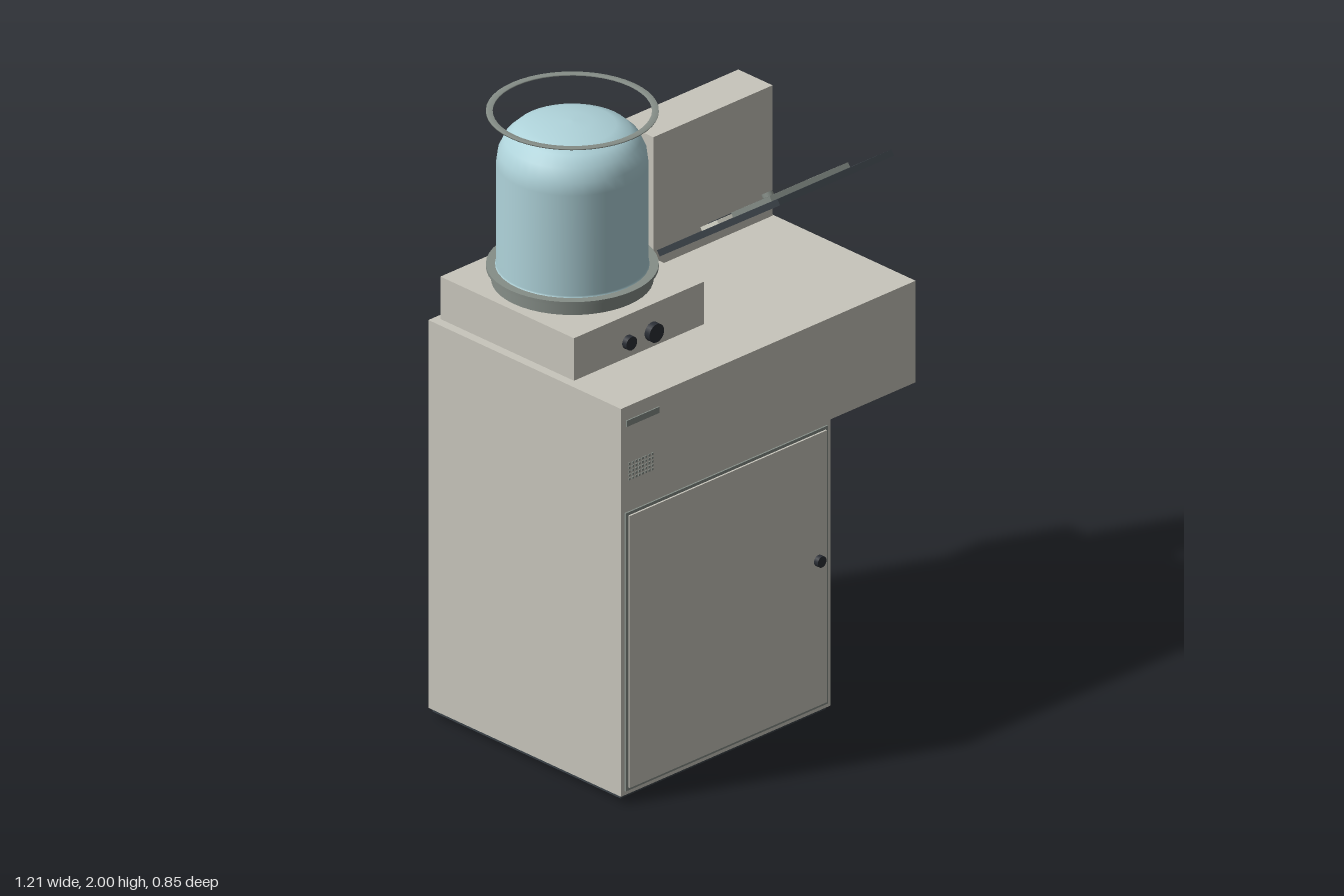
import * as THREE from 'three';

const mat = (name, color, extra = {}) => {
  const m = new THREE.MeshStandardMaterial({ color, ...extra });
  m.name = name;
  return m;
};

export function createModel() {
  const root = new THREE.Group();
  const body = mat('body beige', 0xc8c6bc);
  const steel = mat('steel grey', 0x868e88);
  const dark = mat('dark slate', 0x3b4248);
  const black = mat('knob black', 0x2a2e35);
  const glass = mat('bell blue', 0xafd3da, { side: THREE.DoubleSide });
  const cream = mat('cream', 0xdcdccf);

  const add = (name, geo, m, parent = root) => {
    const mesh = new THREE.Mesh(geo, m);
    mesh.name = name;
    parent.add(mesh);
    return mesh;
  };
  // Box given by its minimum and maximum on each axis
  const box = (name, m, x0, x1, y0, y1, z0, z1, parent = root) => {
    const b = add(name, new THREE.BoxGeometry(x1 - x0, y1 - y0, z1 - z0), m, parent);
    b.position.set((x0 + x1) / 2, (y0 + y1) / 2, (z0 + z1) / 2);
    return b;
  };
  const disc = (name, m, r, h, x, y, z, parent = root) => {
    const c = add(name, new THREE.CylinderGeometry(r, r, h, 24), m, parent);
    c.position.set(x, y, z);
    return c;
  };
  const frontKnob = (name, r, depth, x, y, z) => {
    disc(name, black, r, depth, x, y, z + depth / 2).rotation.x = Math.PI / 2;
  };

  // Cabinet, overhanging upper body and support leg
  box('cabinet', body, -0.605, 0.255, 0.026, 0.97, -0.415, 0.4);
  box('upperBody', body, -0.605, 0.605, 0.97, 1.305, -0.415, 0.4);
  box('plinth', dark, -0.597, 0.247, 0.014, 0.026, -0.405, 0.39);
  box('supportLeg', steel, 0.505, 0.565, 0.005, 0.96, -0.375, -0.31);
  for (const x of [-0.54, 0.173])
    for (const z of [-0.32, 0.3]) disc('foot', black, 0.032, 0.016, x, 0.008, z);

  // Door with its grey seam and knob
  box('doorSeam', steel, -0.59, 0.24, 0.04, 0.957, 0.4, 0.405);
  box('door', body, -0.58, 0.23, 0.05, 0.947, 0.4, 0.411);
  frontKnob('doorKnob', 0.018, 0.017, 0.195, 0.53, 0.41);

  // Rear service panel with vent slats
  box('rearPanelSeam', steel, -0.59, 0.24, 0.04, 0.957, -0.418, -0.41);
  box('rearPanel', body, -0.585, 0.235, 0.046, 0.957, -0.421, -0.41);
  for (let i = 0; i < 8; i++) {
    const x = -0.115 + i * 0.0185;
    box('ventSlat', dark, x, x + 0.009, 0.77, 0.81, -0.426, -0.42);
  }

  // Slot and speaker grille on the upper front
  box('frontSlot', steel, -0.585, -0.45, 1.24, 1.26, 0.4, 0.404);
  for (let i = 0; i < 8; i++)
    for (let j = 0; j < 5; j++) {
      const x = -0.575 + i * 0.0135, y = 1.06 + j * 0.0125;
      box('grilleHole', steel, x, x + 0.007, y, y + 0.007, 0.4, 0.403);
    }

  // Pedestal and its two control knobs
  box('pedestal', body, -0.575, -0.04, 1.305, 1.445, -0.395, 0.17);
  frontKnob('smallKnob', 0.022, 0.018, -0.355, 1.357, 0.17);
  frontKnob('largeKnob', 0.03, 0.021, -0.255, 1.357, 0.17);

  // Bell with collar, flange and floating ring
  const cx = -0.305, cz = -0.115;
  const collar = add('collar', new THREE.CylinderGeometry(0.24, 0.24, 0.04, 48), steel);
  collar.position.set(cx, 1.465, cz);
  const flange = add('flange', new THREE.CylinderGeometry(0.255, 0.255, 0.01, 48), steel);
  flange.position.set(cx, 1.49, cz);
  const profile = [
    [0.228, 1.495], [0.225, 1.5], [0.225, 1.83], [0.22, 1.868], [0.202, 1.908],
    [0.172, 1.936], [0.13, 1.953], [0.06, 1.964], [0, 1.966],
  ].map(([r, y]) => new THREE.Vector2(r, y));
  add('bell', new THREE.LatheGeometry(profile, 40), glass).position.set(cx, 0, cz);
  const ringProfile = [[0.235, 1.996], [0.255, 1.996], [0.255, 2], [0.235, 2], [0.235, 1.996]]
    .map(([r, y]) => new THREE.Vector2(r, y));
  add('topRing', new THREE.LatheGeometry(ringProfile, 48), steel).position.set(cx, 0, cz);

  // Display housing
  box('displayHousing', body, 0.11, 0.6, 1.305, 1.735, -0.345, -0.2);

  // Tilted control panel: local z runs up the slope, local y is its face normal
  const panel = new THREE.Group();
  panel.name = 'controlPanel';
  panel.position.set(0, 1.357, -0.2);
  panel.rotation.x = -0.605;
  root.add(panel);
  box('panelBoard', dark, 0.125, 0.593, -0.02, 0, 0, 0.62, panel);
  box('panelLabel', cream, 0.485, 0.535, 0, 0.006, 0.026, 0.07, panel);
  box('driveFrame', cream, 0.21, 0.505, 0, 0.012, 0.125, 0.21, panel);
  box('driveSlot', dark, 0.23, 0.44, 0.012, 0.014, 0.14, 0.196, panel);
  disc('driveKnob', steel, 0.018, 0.016, 0.46, 0.02, 0.165, panel);
  // Screen bezel around a recessed screen
  box('bezelLower', steel, 0.2, 0.522, 0, 0.016, 0.298, 0.313, panel);
  box('bezelUpper', steel, 0.2, 0.522, 0, 0.016, 0.48, 0.497, panel);
  box('bezelRight', steel, 0.2, 0.218, 0, 0.016, 0.313, 0.48, panel);
  box('bezelLeft', steel, 0.504, 0.522, 0, 0.016, 0.313, 0.48, panel);
  box('screen', dark, 0.218, 0.504, 0, 0.008, 0.313, 0.48, panel);

  return root;
}
